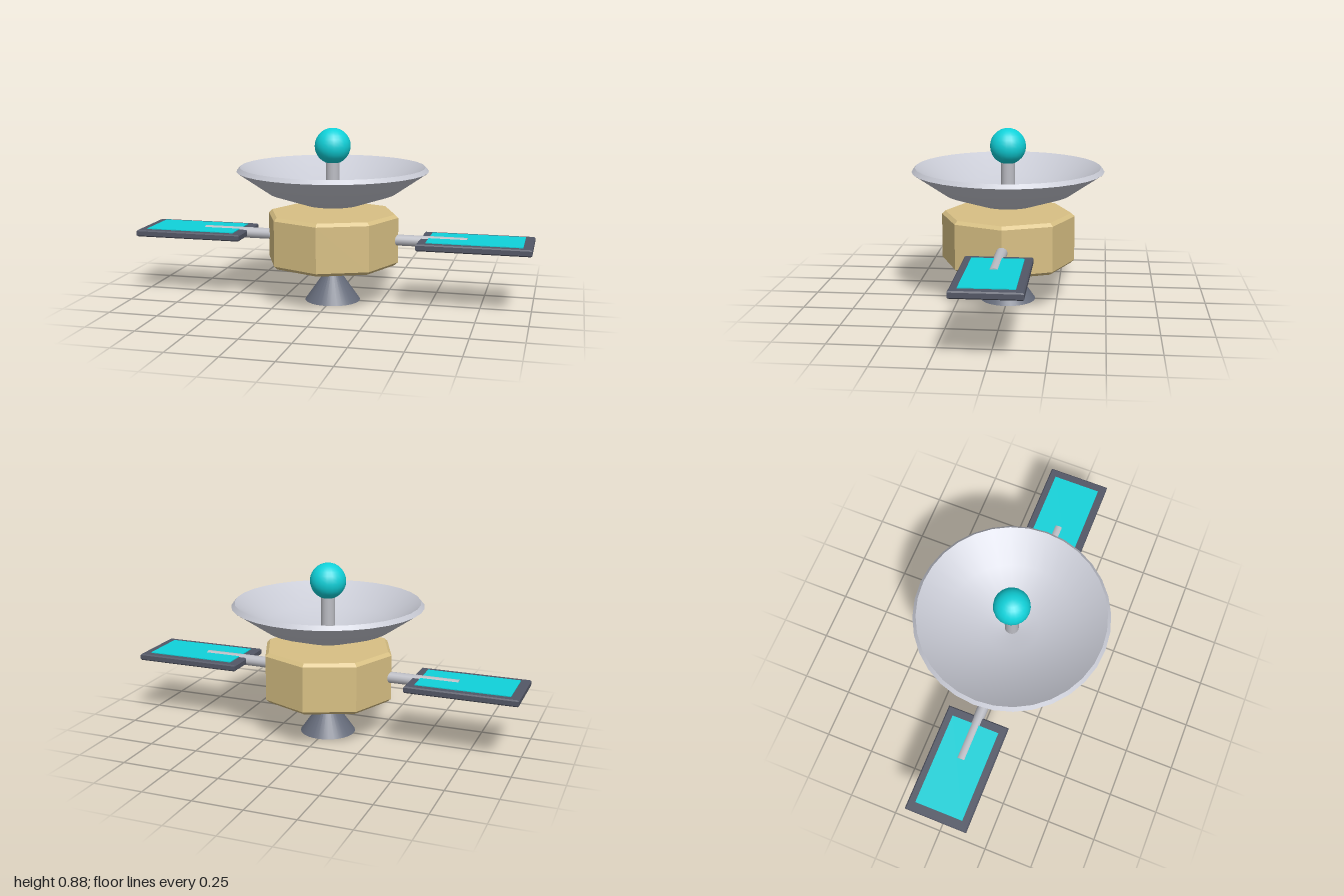
import * as THREE from 'three';

const mat = (name, color) => Object.assign(new THREE.MeshStandardMaterial({ color }), { name });

export function createModel() {
  const gold = mat('gold foil', 0xd8c084);
  const silver = mat('dish silver', 0xc8cad4);
  const steel = mat('strut steel', 0xbcbdc4);
  const slate = mat('frame slate', 0x535766);
  const engine = mat('engine grey', 0x666c7b);
  const teal = mat('teal', 0x10d2da);

  const root = new THREE.Group();
  root.name = 'satellite';
  const add = (name, geo, material, x = 0, y = 0, z = 0, parent = root) => {
    const m = new THREE.Mesh(geo, material);
    m.name = name;
    m.position.set(x, y, z);
    parent.add(m);
    return m;
  };

  // Bevelled slab: outline in x/z, centred on y = 0
  const slab = (points, height, bevel) => {
    const geo = new THREE.ExtrudeGeometry(new THREE.Shape(points), {
      depth: height - 2 * bevel, bevelEnabled: true, bevelThickness: bevel,
      bevelSize: bevel, bevelOffset: -bevel, bevelSegments: 1,
    });
    geo.translate(0, 0, bevel - height / 2);
    return geo.rotateX(-Math.PI / 2);
  };
  const rect = (w, d) => [[-1, -1], [1, -1], [1, 1], [-1, 1]]
    .map(([x, y]) => new THREE.Vector2(x * w / 2, y * d / 2));

  // Octagonal body with corners on the axes
  const octagon = [];
  for (let i = 0; i < 8; i++) {
    const a = i * Math.PI / 4;
    octagon.push(new THREE.Vector2(0.336 * Math.cos(a), 0.336 * Math.sin(a)));
  }
  add('body', slab(octagon, 0.258, 0.016), gold, 0, 0.324, 0);

  // Engine cone
  add('engineCone', new THREE.ConeGeometry(0.14, 0.2, 32), engine, 0, 0.1, 0);

  // Dish: outer skin, rim and inner bowl
  const lathe = (pts) => new THREE.LatheGeometry(pts.map(([r, y]) => new THREE.Vector2(r, y)), 32);
  const dish = new THREE.Group();
  dish.name = 'dish';
  root.add(dish);
  add('dishOuter', lathe([[0, 0.475], [0.14, 0.495], [0.32, 0.555], [0.48, 0.665]]), silver, 0, 0, 0, dish);
  add('dishRim', lathe([[0.48, 0.665], [0.463, 0.685]]), silver, 0, 0, 0, dish);
  add('dishInner', lathe([[0.463, 0.685], [0.31, 0.578], [0.135, 0.517], [0, 0.497]]), silver, 0, 0, 0, dish);

  // Feed mast and ball
  add('mast', new THREE.CylinderGeometry(0.035, 0.035, 0.24, 16), steel, 0, 0.6, 0);
  add('feedBall', new THREE.SphereGeometry(0.09, 20, 14), teal, 0, 0.787, 0);

  // Solar wings, one each side
  for (const s of [-1, 1]) {
    const wing = new THREE.Group();
    wing.name = s > 0 ? 'leftWing' : 'rightWing';
    wing.position.y = 0.325;
    root.add(wing);
    const strut = new THREE.CylinderGeometry(0.028, 0.028, 0.4, 16).rotateZ(Math.PI / 2);
    add('strut', strut, steel, s * 0.48, 0, 0, wing);
    add('panelFrame', slab(rect(0.553, 0.32), 0.034, 0.006), slate, s * 0.7235, 0, 0, wing);
    add('solarCells', new THREE.BoxGeometry(0.465, 0.042, 0.246), teal, s * 0.7235, 0, 0, wing);
  }
  return root;
}
